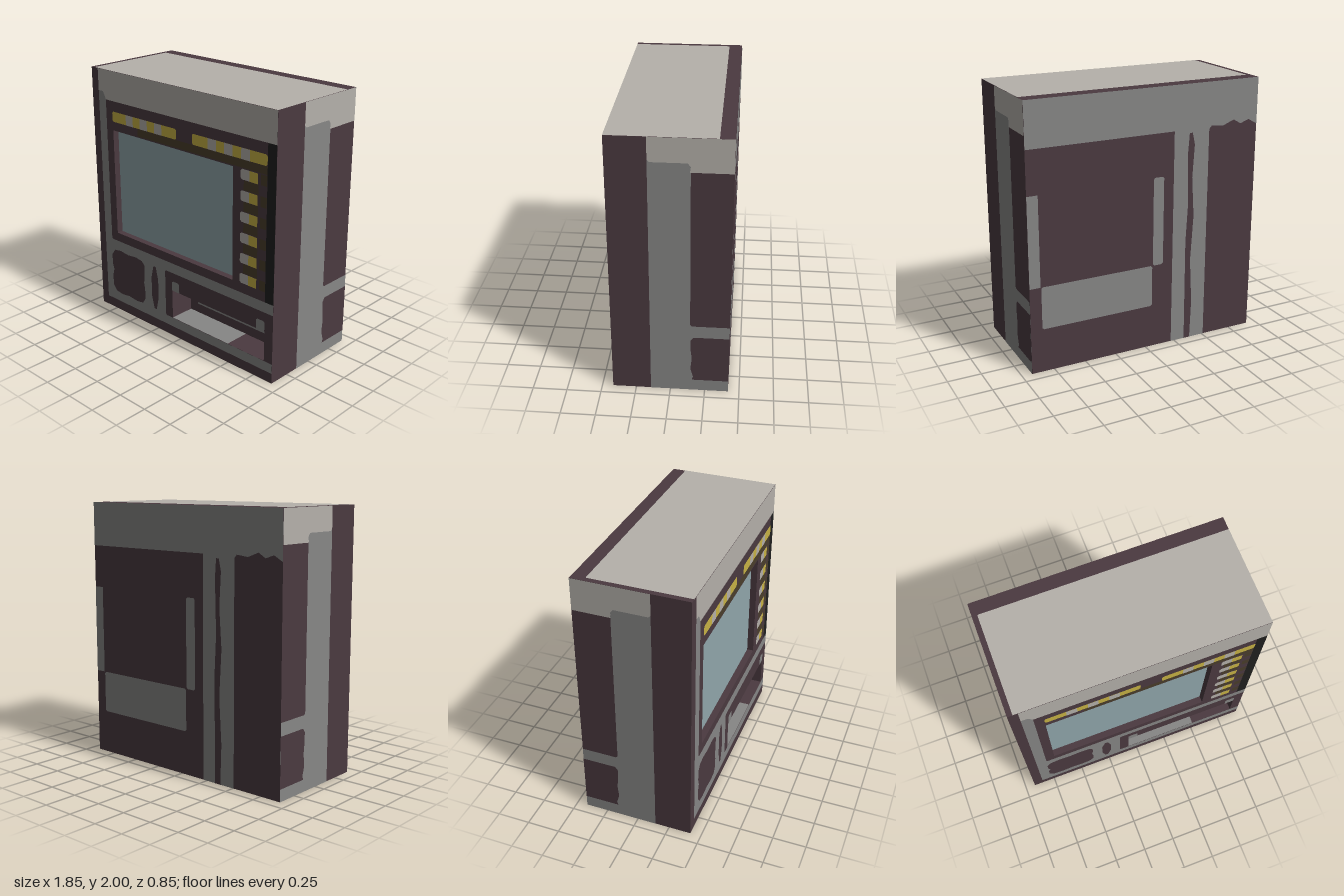
import * as THREE from 'three';

const W = 0.923, D = 0.42, H = 2;
const STEP = 0.0015; // height of one paint layer

const material = (name, color) => {
  const m = new THREE.MeshStandardMaterial({ color });
  m.name = name;
  return m;
};

const rect = (x0, x1, y0, y1) => [[x0, y0], [x1, y0], [x1, y1], [x0, y1]];

// Rectangle with clipped corners
const pill = (x0, x1, y0, y1, c = 0.012) => [
  [x0 + c, y0], [x1 - c, y0], [x1, y0 + c], [x1, y1 - c],
  [x1 - c, y1], [x0 + c, y1], [x0, y1 - c], [x0, y0 + c],
];

const toShape = (pts) => new THREE.Shape(pts.map(([x, y]) => new THREE.Vector2(x, y)));

export function createModel() {
  const root = new THREE.Group();
  const plum = material('plum', 0x4b3a40);
  const grey = material('grey', 0x878786);
  const beige = material('beige', 0xb5b1ab);
  const yellow = material('yellow', 0xc8b344);
  const glass = material('pale blue glass', 0x91a7ac);
  const black = material('black', 0x20201f);
  const olive = material('dark olive', 0x4a3e2b);

  const add = (parent, name, geometry, mat, x = 0, y = 0, z = 0) => {
    const m = new THREE.Mesh(geometry, mat);
    m.name = name;
    m.position.set(x, y, z);
    parent.add(m);
    return m;
  };
  const paint = (parent, name, mat, pts, layer = 1) =>
    add(parent, name, new THREE.ShapeGeometry(toShape(pts)), mat, 0, 0, layer * STEP);
  const face = (name, pos, rx = 0, ry = 0) => {
    const g = new THREE.Group();
    g.name = name;
    g.position.set(...pos);
    g.rotation.set(rx, ry, 0);
    root.add(g);
    return g;
  };

  // Cabinet: solid rear and a front frame with screen and tray openings
  const cavity = 0.2, rear = 2 * D - cavity;
  const SCREEN = [-0.70, 0.54, 0.69, 1.54];
  const TRAY = [-0.08, 0.847, 0.155, 0.39];
  add(root, 'cabinetRear', new THREE.BoxGeometry(2 * W, H, rear), plum, 0, H / 2, -D + rear / 2);
  const frame = toShape(rect(-W, W, 0, H));
  frame.holes.push(toShape(rect(...SCREEN)), toShape(rect(...TRAY)));
  add(root, 'cabinetFrontFrame',
    new THREE.ExtrudeGeometry(frame, { depth: cavity, bevelEnabled: false }), plum, 0, 0, D - cavity);

  // Recessed screen
  const screen = face('screen', [0, 0, D - 0.05]);
  paint(screen, 'screenGlass', glass, rect(...SCREEN), 0);

  // Tray recess: back wall markings and floor
  const trayBack = face('trayBack', [0, 0, D - cavity]);
  paint(trayBack, 'trayBand', grey, rect(0, 0.765, 0.23, 0.307));
  paint(trayBack, 'trayTabLeft', grey, rect(0.77, 0.845, 0.307, 0.39));
  paint(trayBack, 'trayTabRight', grey, rect(-0.08, 0, 0.307, 0.39));
  const trayFloor = face('trayFloor', [0, 0.155, 0], -Math.PI / 2);
  paint(trayFloor, 'trayFloorPlate', grey, rect(-0.08, 0.5, -D, cavity - D));

  // Front paint
  const front = face('front', [0, 0, D]);
  paint(front, 'headerPanel', beige,
    [[-0.85, 1.83], [-0.80, 1.83], [-0.785, 1.80], [-0.77, 1.77], [W, 1.77], [W, H], [-0.85, H]]);
  paint(front, 'greySurround', grey, [
    [-0.85, 0.08], [W, 0.08], [W, 0.155], [-0.145, 0.155], [-0.155, 0.165], [-0.155, 0.53],
    [-0.145, 0.54], [W, 0.54], [W, 0.62], [-0.76, 0.62], [-0.77, 0.63], [-0.77, 1.77],
    [-0.785, 1.80], [-0.80, 1.83], [-0.85, 1.83],
  ]);
  paint(front, 'blackEdge', black, rect(0.847, W, 0.62, 1.77));
  paint(front, 'speakerPatch', plum, [
    [-0.74, 0.165], [-0.67, 0.155], [-0.58, 0.165], [-0.49, 0.155], [-0.42, 0.165], [-0.39, 0.21],
    [-0.39, 0.29], [-0.40, 0.35], [-0.39, 0.41], [-0.39, 0.50], [-0.42, 0.53], [-0.49, 0.54],
    [-0.58, 0.53], [-0.67, 0.54], [-0.74, 0.53], [-0.775, 0.48], [-0.775, 0.40], [-0.76, 0.35],
    [-0.775, 0.30], [-0.775, 0.21],
  ], 2);
  paint(front, 'ovalPatch', plum, [
    [-0.285, 0.165], [-0.26, 0.165], [-0.235, 0.27], [-0.235, 0.43], [-0.26, 0.53],
    [-0.285, 0.53], [-0.31, 0.43], [-0.31, 0.27],
  ], 2);
  for (const x of [-0.08, 0.77]) paint(front, 'trayTopTab', grey,
    [[x, 0.39], [x + 0.077, 0.39], [x + 0.077, 0.46], [x + 0.065, 0.47], [x + 0.012, 0.47], [x, 0.46]]);

  // Indicator rows above the screen, with a dark band below
  paint(front, 'indicatorShade', olive, rect(-0.42, 0.847, 1.55, 1.608));
  for (const x of [-0.70, 0.152]) {
    paint(front, 'indicatorRow', yellow, pill(x, x + 0.695, 1.61, 1.69), 2);
    for (const o of [0.155, 0.31, 0.465])
      paint(front, 'indicatorLight', beige, rect(x + o, x + o + 0.078, 1.61, 1.69), 3);
  }

  // Column of side keys
  for (let i = 0; i < 6; i++) {
    const y = 1.505 - i * 0.154;
    paint(front, 'sideKey', beige, pill(0.612, 0.75, y - 0.038, y + 0.038), 2);
    paint(front, 'sideKeyEnd', yellow, rect(0.692, 0.768, y - 0.038, y + 0.038), 3);
    if (i < 5) paint(front, 'sideKeyShade', olive, rect(0.64, 0.77, y - 0.112, y - 0.042));
    paint(front, 'sideKeyEdgeShade', olive, rect(0.79, 0.845, y - 0.038, y + 0.038));
  }

  // Matching sides; first coordinate of each point is z
  for (const s of [1, -1]) {
    const side = face(s > 0 ? 'leftSide' : 'rightSide', [s * W, 0, 0], 0, s * Math.PI / 2);
    const onSide = (name, mat, pts, layer) => paint(side, name, mat, pts.map(([z, y]) => [-s * z, y]), layer);
    onSide('sideHeader', beige, [[-D, 1.76], [-0.135, 1.76], [-0.14, 1.80], [-0.12, 1.825],
      [0.125, 1.825], [0.142, 1.84], [0.142, H], [-D, H]]);
    onSide('sideGrey', grey, [[-D, 0], [0.142, 0], [0.142, 1.84], [0.125, 1.825], [-0.12, 1.825],
      [-0.14, 1.80], [-0.142, 0.575], [-0.155, 0.563], [-D, 0.563]]);
    onSide('sidePatch', plum, [[-D, 0.092], [-0.155, 0.092], [-0.165, 0.12], [-0.145, 0.19], [-0.155, 0.28],
      [-0.145, 0.37], [-0.145, 0.44], [-0.165, 0.468], [-D, 0.468]], 2);
  }

  // Back paint; local x runs towards the model's right
  const back = face('back', [0, 0, -D], 0, Math.PI);
  paint(back, 'backHeader', grey, [[-W, 1.665], [0.22, 1.665], [0.51, 1.65], [0.53, 1.675], [0.63, 1.665],
    [0.72, 1.70], [0.78, 1.665], [0.85, 1.69], [W, 1.65], [W, H], [-W, H]]);
  paint(back, 'backStripe', grey, rect(0.22, 0.51, 0, 1.67));
  paint(back, 'backSlit', plum, [[0.335, 0], [0.385, 0], [0.395, 0.3], [0.375, 0.65], [0.395, 1.0],
    [0.375, 1.3], [0.39, 1.55], [0.37, 1.64], [0.345, 1.64], [0.335, 1.5], [0.345, 1.1], [0.33, 0.8]], 2);
  paint(back, 'backEdgeTab', grey, rect(-W, -0.84, 0.66, 1.34));
  paint(back, 'backTab', grey, pill(0.055, 0.14, 0.66, 1.34));
  paint(back, 'backBand', grey, pill(-0.835, 0.05, 0.335, 0.66));

  // Top and underside
  const top = face('top', [0, H, 0], -Math.PI / 2);
  paint(top, 'topPanel', beige, rect(-0.885, W, -D, 0.32));
  const bottom = face('underside', [0, 0, 0], Math.PI / 2);
  paint(bottom, 'undersidePanel', grey, [[-0.33, -D], [W, -D], [W, -0.18], [0.39, -0.18],
    [0.36, -0.14], [0.39, 0], [0.35, 0.14], [0.36, 0.28], [0.33, D], [-0.33, D]]);

  return root;
}
